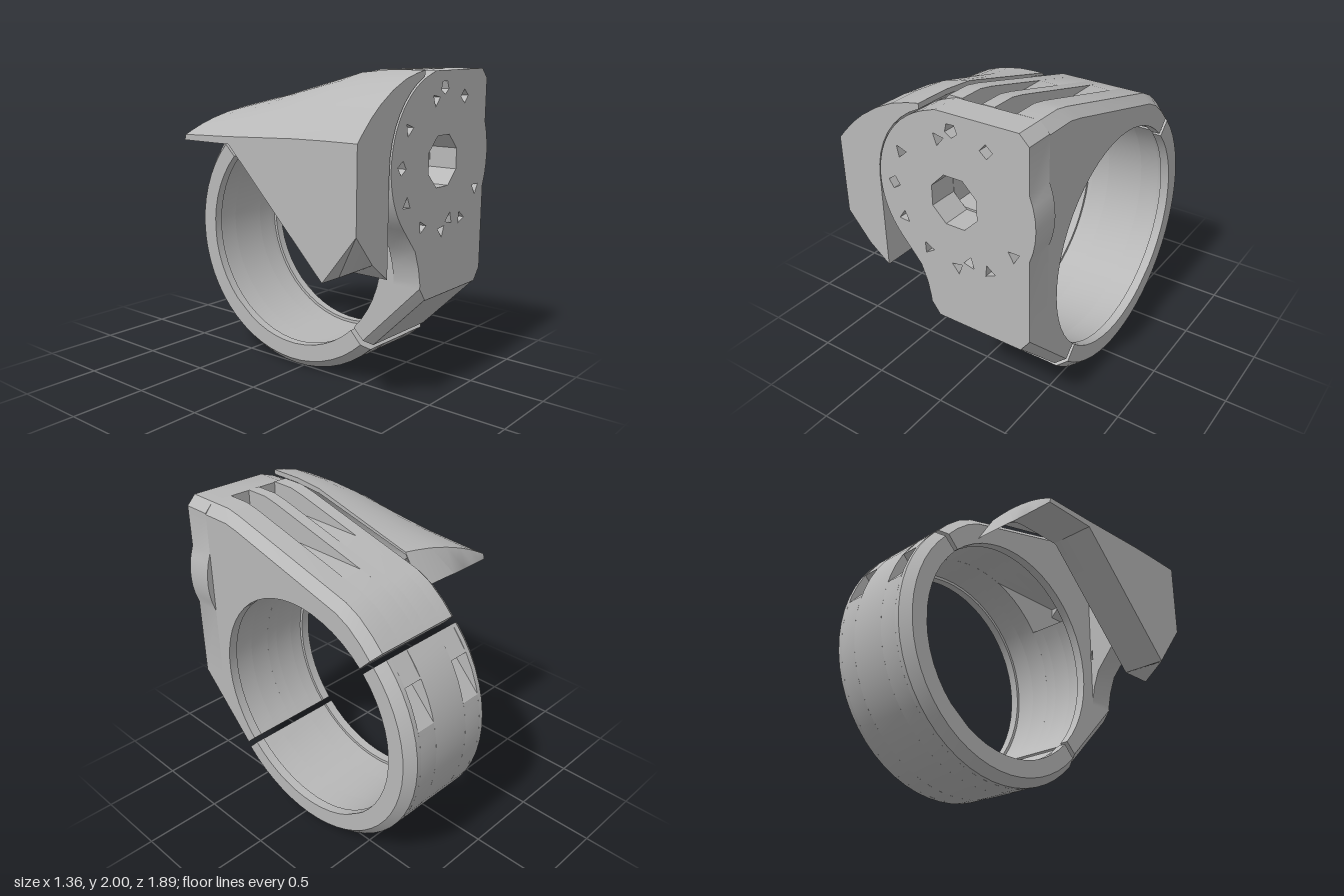
import * as THREE from 'three';
import { toCreasedNormals } from 'three/addons/utils/BufferGeometryUtils.js';

const RAD = Math.PI / 180;
const CH = 0.06, CY = 0.89;          // ring centre in the side profile (h = -z, y)
const OUTER = 0.89, INNER = 0.745, LIP = 0.725;
const GAP = 1.3;                     // half of the split gap, in degrees

// points on an arc, angles in degrees
function arc(cx, cy, r, a, b, n) {
  return Array.from({ length: n + 1 }, (_, i) => {
    const t = (a + (b - a) * i / n) * RAD;
    return [cx + r * Math.cos(t), cy + r * Math.sin(t)];
  });
}
const toShape = pts => new THREE.Shape(pts.map(p => new THREE.Vector2(p[0], p[1])));

// extrude a side profile (h, y) between two x positions; bevel = -1 or 1 chamfers that outer face
function slab(pts, x0, x1, bevel = 0) {
  const g = new THREE.ExtrudeGeometry(toShape(pts), { depth: x1 - x0, bevelEnabled: false });
  g.rotateY(Math.PI / 2).translate(x0, 0, 0);
  const p = g.attributes.position, edge = bevel > 0 ? x1 : x0;
  for (let i = 0; bevel && i < p.count; i++) {
    const y = p.getY(i), z = p.getZ(i);
    if (Math.abs(p.getX(i) - edge) > 1e-4 || Math.hypot(y - CY, z + CH) < 0.8) continue;
    if (z > 0.7 && y < 0.7) { p.setY(i, 0.73); continue; }
    p.setY(i, CY + (y - CY) * 0.94);
    if (z < 0.7) p.setZ(i, -CH + (z + CH) * 0.94);
  }
  return toCreasedNormals(g, 0.45);
}

// top height of body and hood along z
const topAt = z => (z > 0.5 ? 1.98 + Math.min(0.02, (z - 0.5) * 0.2) : 1.98 - 0.267 * (0.5 - z));

// upper-front half of the clamp: returns one or two profiles
function bodyProfiles(r, bore, floor) {
  const lower = [[-0.575, 0.282], [-0.94, 0.65], [-0.76, 0.65]];
  const top = floor
    ? [[-0.76, floor], [(1.98 - floor) / 0.267 - 0.5, floor]]
    : [[-0.76, 2], [-0.6, 2], [-0.5, 1.98]];
  top.push([0.4, 1.74], [0.5, 1.69], [0.6, 1.61], [0.675, 1.532]);
  if (!bore) return [[...lower, ...top, ...arc(CH, CY, r, 45 + GAP, 225 - GAP, 26)]];
  const angleAt = y => 180 - Math.asin((y - CY) / r) / RAD;
  return [
    [...lower, [-0.76, 1.33], ...arc(CH, CY, r, angleAt(1.33), 225 - GAP, 12)],
    [[-0.76, 1.6], ...top, ...arc(CH, CY, r, 45 + GAP, angleAt(1.6), 12)],
  ];
}

// lower-back half of the clamp, optionally with bolt pockets at both ends
function strapProfile(r, pockets) {
  const inner = arc(CH, CY, r, -135 + GAP, 45 - GAP, 26);
  if (!pockets) return [...arc(CH, CY, OUTER, 45 - GAP, -135 + GAP, 28), ...inner];
  const at = (s, t) => [CH + (s + t) * Math.SQRT1_2, CY + (s - t) * Math.SQRT1_2];
  const cut = [[0.889, 0.02], [0.866, 0.2], [0.775, 0.2]];
  return [
    ...cut.map(([s, t]) => at(s, t)),
    ...arc(CH, CY, OUTER, 15, -105, 20),
    ...cut.reverse().map(([s, t]) => at(-s, t)),
    ...inner,
  ];
}

// round front plate with centre bore and small index holes
function plateGeometry() {
  const cx = 0.15, cy = 1.47, r = 0.53;
  const shape = toShape([
    [0, 0.65], [0.58, 0.65], [0.64, 0.73], ...arc(cx, cy, r, -22.4, 22.4, 6),
    [0.64, 1.94], [0.58, 2], [0.05, 1.995], ...arc(cx, cy, r, 112, 222, 18),
    [-0.12, 0.97], [-0.08, 0.86], [-0.06, 0.76], [-0.06, 0.73],
  ]);
  const addHole = (x, y, size, sides, turn) => shape.holes.push(
    new THREE.Path(arc(x, y, size, turn, turn + 360 * (sides - 1) / sides, sides - 1)
      .map(p => new THREE.Vector2(p[0], p[1]))));
  addHole(cx, cy, 0.165, 8, 22.5);
  [[0.06, 1.83, 3], [0.15, 1.9, 5], [0.375, 1.84, 4], [-0.21, 1.68, 3], [-0.275, 1.47, 4],
    [-0.22, 1.26, 3], [-0.055, 1.105, 3], [0.155, 1.05, 3], [0.24, 1.11, 3],
    [0.375, 1.1, 3], [0.54, 1.265, 3]]
    .forEach(([x, y, sides], i) => addHole(x, y, 0.042, sides, 20 + i * 37));
  const g = new THREE.ExtrudeGeometry(shape, { depth: 0.185, bevelEnabled: false });
  return toCreasedNormals(g.translate(0, 0, 0.76), 0.45);
}

// curved side hood, lofted through sections along z
function hoodGeometry() {
  const upper = [[-0.06, 2], [-0.14, 1.985], [-0.25, 1.955], [-0.37, 1.9], [-0.48, 1.83],
    [-0.56, 1.765], [-0.63, 1.695], [-0.68, 1.64]];
  const inner = arc(0.15, 1.47, 0.54, 180, 113, 8);
  const stations = [0.94, 0.71, 0.5, 0.25, 0, -0.25, -0.38];
  const rings = stations.map((z, i) => {
    const bottom = Math.max(0.86, Math.min(1.57, 1.57 - z));
    const k = i === 6 ? 0.02 : (topAt(z) - 1.57) / 0.43;
    const base = i === 0 ? [[-0.68, 1.15], [-0.53, 0.97], [-0.39, 0.86]]
      : [[-0.68, bottom], [-0.53, bottom], [-0.39, bottom]];
    return [...upper, ...base, ...inner].map(([x, y]) => [
      x,
      Math.max(y > 1.57 ? 1.57 + (y - 1.57) * k : y, bottom),
      i === 5 ? z + 0.12 * (x + 0.06) / 0.62 : z,
    ]);
  });
  const n = rings[0].length, out = [];
  const tri = (a, b, c) => out.push(...a, ...b, ...c);
  for (let i = 0; i < rings.length - 1; i++) {
    for (let j = 0; j < n; j++) {
      const m = (j + 1) % n, [f, b] = [rings[i], rings[i + 1]];
      tri(f[j], b[j], b[m]);
      tri(f[j], b[m], f[m]);
    }
  }
  const faces = THREE.ShapeUtils.triangulateShape(rings[0].map(p => new THREE.Vector2(p[0], p[1])), []);
  const back = rings[rings.length - 1];
  for (const [a, b, c] of faces) {
    tri(rings[0][a], rings[0][b], rings[0][c]);
    tri(back[a], back[c], back[b]);
  }
  const g = new THREE.BufferGeometry();
  g.setAttribute('position', new THREE.Float32BufferAttribute(out, 3));
  return toCreasedNormals(g, 0.45);
}

export function createModel() {
  const model = new THREE.Group();
  model.name = 'clampMount';
  const grey = new THREE.MeshStandardMaterial({ color: 0xb8b8b8, side: THREE.DoubleSide });
  grey.name = 'plain grey';
  const add = (name, geometry, parent = model) => {
    const mesh = new THREE.Mesh(geometry, grey);
    mesh.name = name;
    parent.add(mesh);
  };
  const section = name => {
    const g = new THREE.Group();
    g.name = name;
    model.add(g);
    return g;
  };

  // clamp body: slices across x, with the bore and two top slots
  const body = section('clampBody');
  [[-0.06, 0, LIP, false, 0, -1], [0, 0.09, INNER, true, 0], [0.09, 0.22, INNER, true, 1.85],
    [0.22, 0.3, INNER, true, 0], [0.3, 0.44, INNER, false, 1.785],
    [0.44, 0.58, INNER, false, 0], [0.58, 0.64, LIP, false, 0, 1]]
    .forEach(([x0, x1, r, bore, floor, bevel]) => bodyProfiles(r, bore, floor)
      .forEach(p => add('bodySlice', slab(p, x0, x1, bevel), body)));

  // removable strap with bolt pockets
  const strap = section('clampStrap');
  [[-0.06, 0, LIP, false, -1], [0, 0.03, INNER, false], [0.03, 0.16, INNER, true],
    [0.16, 0.42, INNER, false], [0.42, 0.55, INNER, true], [0.55, 0.58, INNER, false],
    [0.58, 0.64, LIP, false, 1]]
    .forEach(([x0, x1, r, pockets, bevel]) =>
      add('strapSlice', slab(strapProfile(r, pockets), x0, x1, bevel), strap));

  add('frontPlate', plateGeometry());
  add('sideHood', hoodGeometry());
  return model;
}
